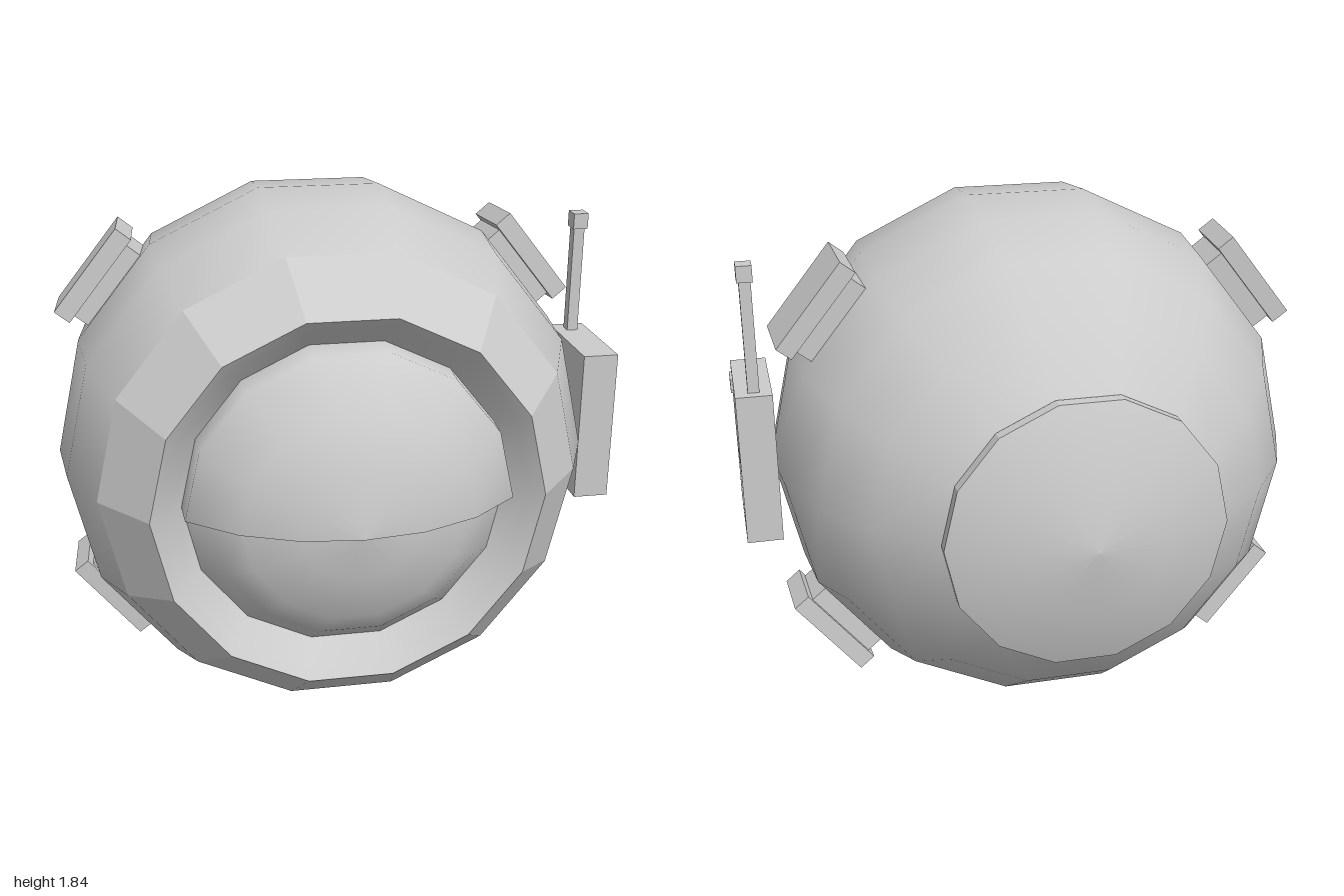
import * as THREE from 'three';

const SIDES = 14;
const CX = -0.065, CY = 0.925;

const grey = (opts = {}) => new THREE.MeshStandardMaterial({ color: 0xcccccc, ...opts });

export function createModel() {
  const root = new THREE.Group();
  root.name = 'sphericalDrone';
  const smooth = grey();
  const flat = grey({ flatShading: true });

  const add = (parent, name, geometry, material = flat) => {
    const mesh = new THREE.Mesh(geometry, material);
    mesh.name = name;
    parent.add(mesh);
    return mesh;
  };

  // Profile of [radius, z] points, listed back to front, turned around the z axis
  const turn = (points, start = Math.PI / 2, sides = SIDES, length = Math.PI * 2) =>
    new THREE.LatheGeometry(points.map(([r, z]) => new THREE.Vector2(r, z)), sides, start, length)
      .rotateX(Math.PI / 2);

  const box = (parent, name, [x0, x1], [y0, y1], [z0, z1]) =>
    add(parent, name, new THREE.BoxGeometry(x1 - x0, y1 - y0, z1 - z0))
      .position.set((x0 + x1) / 2, (y0 + y1) / 2, (z0 + z1) / 2);

  // Round body, centred on its own axis
  const body = new THREE.Group();
  body.name = 'body';
  body.position.set(CX, CY, 0);
  root.add(body);

  add(body, 'shell', turn([
    [0.465, -0.77], [0.67, -0.615], [0.82, -0.42], [0.914, -0.2],
    [0.942, 0.05], [0.914, 0.295], [0.815, 0.52],
  ]), smooth);
  add(body, 'frontBand', turn([[0.815, 0.52], [0.652, 0.712]]));
  add(body, 'eyeSocket', turn([[0.652, 0.712], [0.61, 0.675], [0.54, 0.6]]), smooth);

  // Stepped cap on the back
  add(body, 'rearCapEdge', turn([[0.472, -0.812], [0.472, -0.77], [0.44, -0.77]]));
  add(body, 'rearCap', turn([[0, -0.935], [0.245, -0.905], [0.472, -0.812]]), smooth);

  // Eye and the half dome lid over it
  const eye = [[0.545, 0.6], [0.46, 0.705], [0.37, 0.775], [0.19, 0.845], [0, 0.87]];
  const lid = [[0.545, 0.6], [0.54, 0.712], [0.38, 0.84], [0.195, 0.915], [0, 0.938]];
  add(body, 'eye', turn(eye), smooth);
  add(body, 'eyelid', turn(lid, Math.PI / 2, SIDES / 2, Math.PI), smooth);

  // Underside of the lid
  const outline = [...lid, ...lid.slice(0, -1).reverse().map(([r, z]) => [-r, z])];
  const lidEdge = new THREE.Shape(outline.map(([x, z]) => new THREE.Vector2(x, z)));
  add(body, 'eyelidEdge', new THREE.ShapeGeometry(lidEdge).rotateX(Math.PI / 2),
    grey({ side: THREE.DoubleSide }));

  // Four thruster pads standing on diagonal facets
  const padAngle = (Math.PI * 2 / SIDES) * 1.5;
  for (const angle of [padAngle, Math.PI - padAngle, Math.PI + padAngle, -padAngle]) {
    const arm = new THREE.Group();
    arm.name = 'thrusterPad';
    arm.rotation.z = angle;
    body.add(arm);
    const pad = new THREE.Group();
    pad.name = 'padBlock';
    pad.position.set(0.96, 0, -0.085);
    pad.rotation.y = 0.07;
    arm.add(pad);
    box(pad, 'padPlate', [0.005, 0.07], [-0.182, 0.182], [-0.115, 0.115]);
    box(pad, 'padMount', [-0.07, 0.005], [-0.155, 0.155], [-0.1, 0.1]);
  }

  // Side pack with a recessed panel on its outer face
  const pack = new THREE.Group();
  pack.name = 'sidePack';
  root.add(pack);
  box(pack, 'packCore', [0.865, 0.98], [0.682, 1.235], [-0.138, 0.25]);

  const rect = (path, x0, x1, y0, y1) =>
    path.moveTo(x0, y0).lineTo(x1, y0).lineTo(x1, y1).lineTo(x0, y1).closePath();
  const face = rect(new THREE.Shape(), -0.25, 0.138, 0.682, 1.235);
  face.holes.push(rect(new THREE.Path(), -0.22, 0.11, 0.702, 0.942));
  add(pack, 'packFace',
    new THREE.ExtrudeGeometry(face, { depth: 0.012, bevelEnabled: false })
      .rotateY(Math.PI / 2).translate(0.98, 0, 0));
  box(pack, 'packLatch', [0.985, 1.0], [1.165, 1.21], [0.1, 0.2]);

  // Antenna on top of the pack
  box(pack, 'antennaRod', [0.907, 0.947], [1.235, 1.63], [-0.1, -0.058]);
  box(pack, 'antennaTip', [0.9, 0.954], [1.628, 1.685], [-0.108, -0.045]);

  return root;
}
